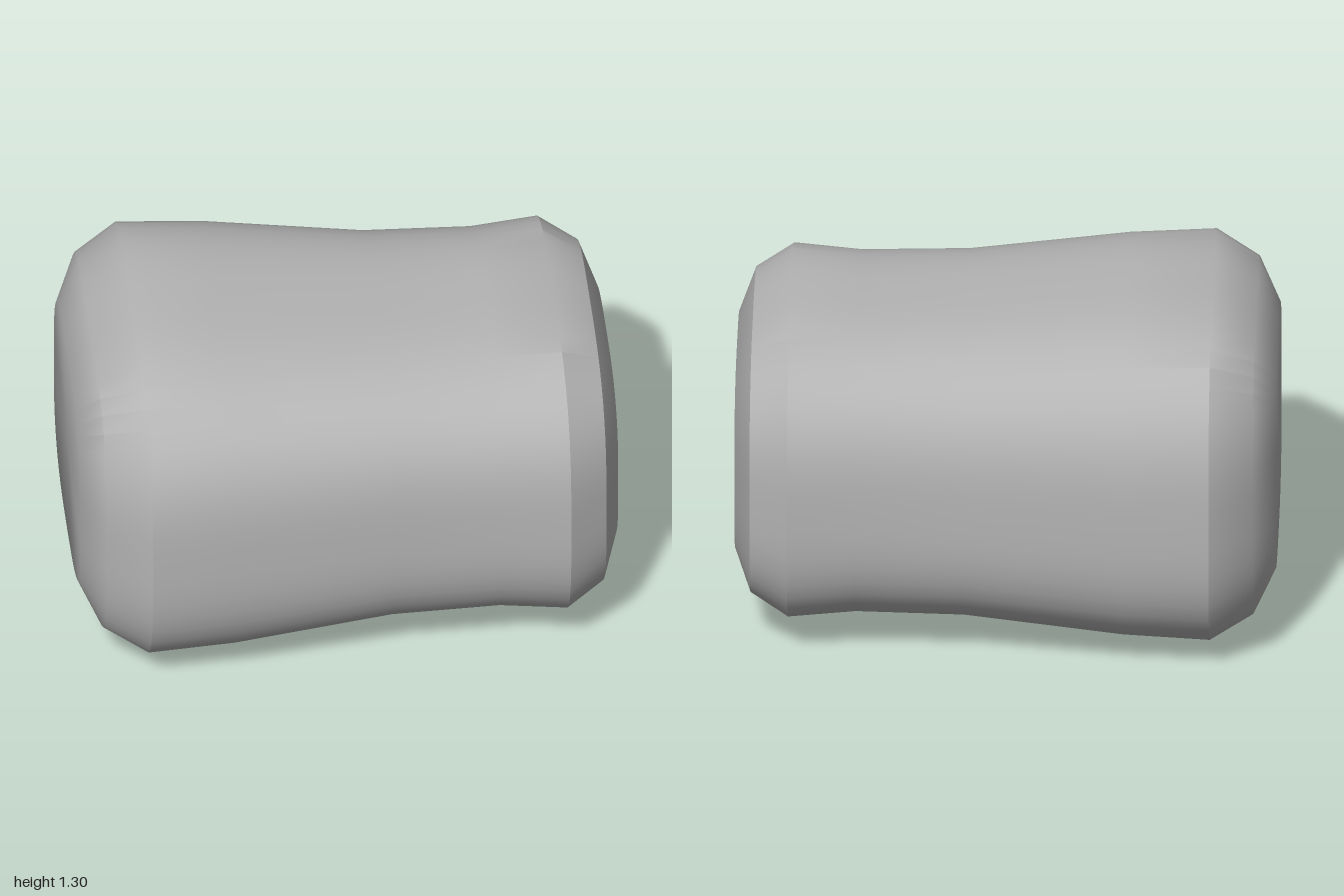
import * as THREE from 'three';
import { toCreasedNormals } from 'three/addons/utils/BufferGeometryUtils.js';

const SIDES = 64;
const CENTRE_Y = 0.653;
const EXPONENT = 3.1;

// Stations along the body: x, half height, half depth
const STATIONS = [
  [-1, 0.42, 0.515],
  [-0.92, 0.565, 0.69],
  [-0.76, 0.65, 0.79],
  [-0.44, 0.635, 0.774],
  [0.15, 0.578, 0.705],
  [0.55, 0.571, 0.695],
  [0.8, 0.59, 0.72],
  [0.94, 0.514, 0.626],
  [1, 0.373, 0.456],
];

// Rounded-square cross-section point
function sectionPoint([x, halfHeight, halfDepth], i) {
  const a = (i / SIDES) * Math.PI * 2;
  const c = Math.cos(a), s = Math.sin(a);
  const r = Math.pow(Math.abs(c) ** EXPONENT + Math.abs(s) ** EXPONENT, -1 / EXPONENT);
  return [x, CENTRE_Y + halfHeight * r * c, halfDepth * r * s];
}

// Loft through the stations, closed by a flat fan at each end
function loft(stations) {
  const positions = [];
  const index = [];
  for (const station of stations) {
    for (let i = 0; i < SIDES; i++) positions.push(...sectionPoint(station, i));
  }
  const last = stations.length - 1;
  const startCentre = stations.length * SIDES;
  const endCentre = startCentre + 1;
  positions.push(stations[0][0], CENTRE_Y, 0, stations[last][0], CENTRE_Y, 0);

  for (let i = 0; i < SIDES; i++) {
    const j = (i + 1) % SIDES;
    for (let k = 0; k < last; k++) {
      const a = k * SIDES + i, b = k * SIDES + j;
      const c = a + SIDES, d = b + SIDES;
      index.push(a, b, c, b, d, c);
    }
    index.push(startCentre, j, i);
    index.push(endCentre, last * SIDES + i, last * SIDES + j);
  }

  const geometry = new THREE.BufferGeometry();
  geometry.setAttribute('position', new THREE.Float32BufferAttribute(positions, 3));
  geometry.setIndex(index);
  return toCreasedNormals(geometry, THREE.MathUtils.degToRad(34.5));
}

export function createModel() {
  const group = new THREE.Group();
  group.name = 'waistedBlock';

  const grey = new THREE.MeshStandardMaterial({ color: 0xb4b4b4 });
  grey.name = 'lightGrey';

  // Waisted body with bevelled ends
  const body = new THREE.Mesh(loft(STATIONS), grey);
  body.name = 'body';
  group.add(body);

  return group;
}
